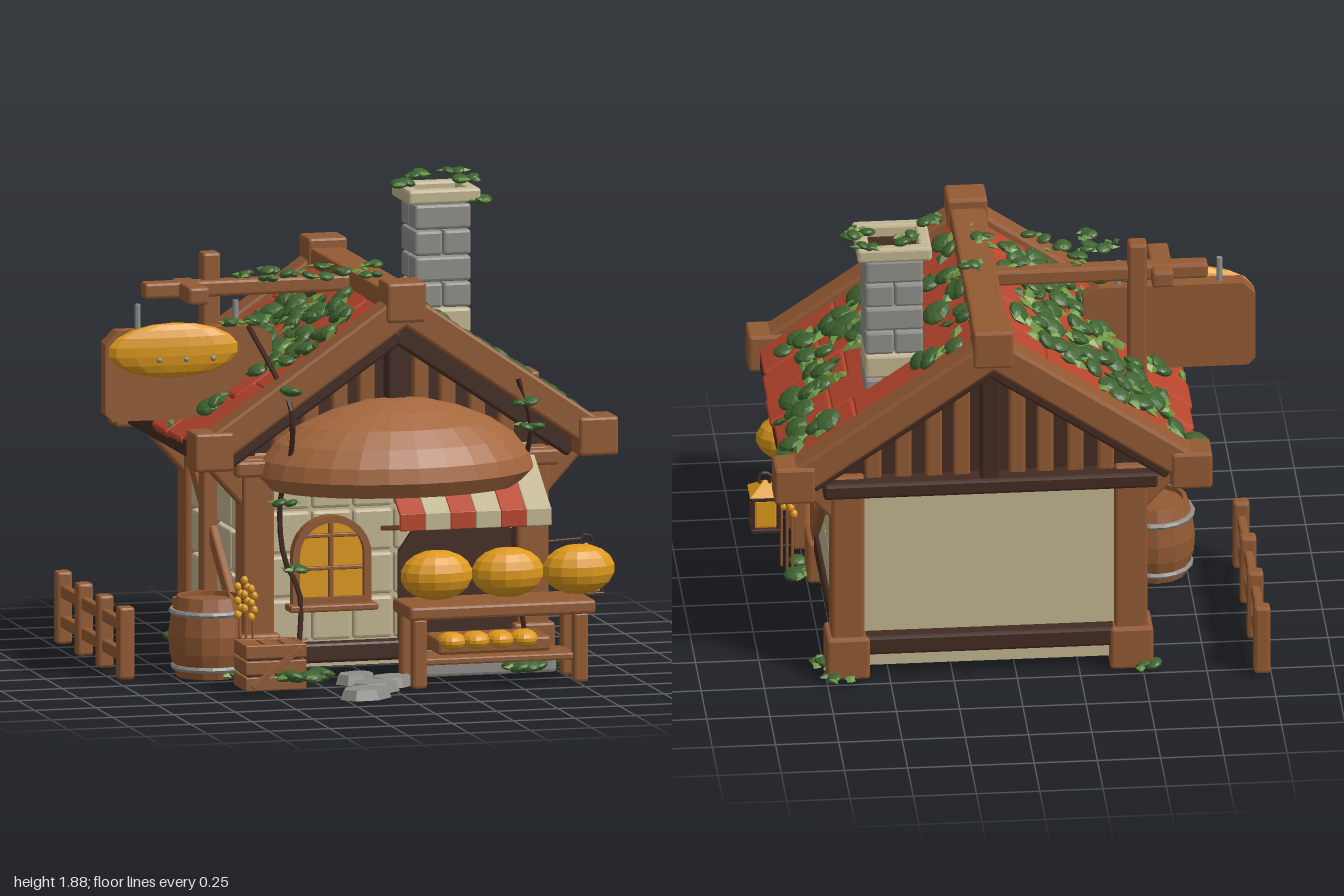
import * as THREE from 'three';
import { mergeGeometries } from 'three/addons/utils/BufferGeometryUtils.js';
import { RoundedBoxGeometry } from 'three/addons/geometries/RoundedBoxGeometry.js';

const paint = (name, color) => {
  const m = new THREE.MeshStandardMaterial({ color, flatShading: true });
  m.name = name;
  return m;
};
const V = (x, y, z) => new THREE.Vector3(x, y, z);

export function createModel() {
  const wood = paint('wood', 0x935a33), dark = paint('dark wood', 0x432b22), red = paint('red roof', 0xb8462c);
  const cream = paint('cream stone', 0xc2b793), grey = paint('grey stone', 0x8f8e8a), gold = paint('gold', 0xdd991c);
  const crust = paint('crust', 0xa5683e), leaf = paint('leaf green', 0x3f6330), light = paint('light leaf', 0x6c9843);
  const root = new THREE.Group();
  root.name = 'bakeryCottage';

  const add = (parent, name, geo, mat, x = 0, y = 0, z = 0) => {
    const m = new THREE.Mesh(geo, mat);
    m.name = name;
    m.position.set(x, y, z);
    parent.add(m);
    return m;
  };
  const group = (name, x = 0, y = 0, z = 0, parent = root) => {
    const g = new THREE.Group();
    g.name = name;
    g.position.set(x, y, z);
    parent.add(g);
    return g;
  };
  // Bevelled block given by its centre
  const box = (p, name, mat, w, h, d, x, y, z) =>
    add(p, name, new RoundedBoxGeometry(w, h, d, 1, Math.min(0.012, Math.min(w, h, d) / 4)), mat, x, y, z);
  // Straight timber between two points
  const beam = (p, name, mat, a, b, w, d) => {
    const c = a.clone().add(b).multiplyScalar(0.5), dir = b.clone().sub(a);
    const m = box(p, name, mat, w, dir.length(), d, c.x, c.y, c.z);
    m.quaternion.setFromUnitVectors(V(0, 1, 0), dir.normalize());
    return m;
  };
  const ball = (p, name, mat, rx, ry, rz, x, y, z) => {
    const m = add(p, name, new THREE.SphereGeometry(1, 14, 9), mat, x, y, z);
    m.scale.set(rx, ry, rz);
    return m;
  };
  const cyl = (p, name, mat, r, h, x, y, z, n = 8) => add(p, name, new THREE.CylinderGeometry(r, r, h, n), mat, x, y, z);
  const plate = (p, name, mat, pts, depth, z) => add(p, name, new THREE.ExtrudeGeometry(
    new THREE.Shape(pts.map(([x, y]) => new THREE.Vector2(x, y))), { depth, bevelEnabled: false }), mat, 0, 0, z);

  // House, mirrored about its ridge
  const CX = 0.105, SLOPE = 0.69, ANG = Math.atan(SLOPE);
  const roofY = u => 1.538 - Math.abs(u) * SLOPE;
  const house = group('house', CX);
  add(house, 'wallCore', new THREE.BoxGeometry(1.12, 0.86, 0.88), cream, 0, 0.48, -0.22);
  for (const s of [-1, 1]) {
    for (const z of [0.215, -0.645]) {
      box(house, 'cornerPost', wood, 0.13, 0.86, 0.13, s * 0.56, 0.47, z);
      box(house, 'postBase', wood, 0.17, 0.18, 0.17, s * 0.56, 0.11, z);
      beam(house, 'eaveBracket', wood, V(s * 0.58, 0.72, z), V(s * 0.77, 0.93, z), 0.08, 0.09);
    }
    // Stone tiles of the side wall
    for (let r = 0; r < 5; r++) for (let c = 0; c < 4; c++) {
      const [z, w] = [[0.09, 0.13], [-0.095, 0.2], [-0.31, 0.2], [-0.5, 0.15]][c];
      box(house, 'sideTile', cream, 0.06, 0.165, w, s * 0.575, 0.14 + r * 0.175, z);
    }
    box(house, 'sideSill', dark, 0.06, 0.08, 0.74, s * 0.59, 0.19, -0.215);
    beam(house, 'sideBrace', wood, V(s * 0.615, 0.27, 0.12), V(s * 0.615, 0.84, -0.58), 0.04, 0.065);
    box(house, 'eaveBeam', dark, 0.08, 0.08, 1.06, s * 0.78, 0.93, -0.215);
    // Rake timbers with end blocks
    for (const [z, zi] of [[0.37, 0.29], [-0.81, -0.72]]) {
      beam(house, 'rakeTimber', wood, V(0, 1.495, z), V(s * 0.785, 0.955, z), 0.12, 0.12);
      beam(house, 'innerRake', dark, V(0, 1.39, zi), V(s * 0.72, 0.9, zi), 0.1, 0.06);
      box(house, 'eaveBlock', wood, 0.16, 0.155, 0.145, s * 0.785, 0.955, z);
    }
    // Red roof planks in staggered pieces
    for (let i = 0; i < 5; i++) {
      const cuts = [0.03, i % 2 ? 0.34 : 0.22, i % 2 ? 0.6 : 0.52, 0.815 + (i % 3) * 0.006];
      for (let k = 0; k < 3; k++) {
        const u = (cuts[k] + cuts[k + 1]) / 2, len = (cuts[k + 1] - cuts[k]) / Math.cos(ANG);
        const m = box(house, 'roofPlank', red, len, 0.045, 0.21, s * u, roofY(u) - 0.032 + ((i + k) % 3) * 0.004, 0.205 - i * 0.212);
        m.rotation.z = -s * ANG;
      }
    }
  }
  for (const z of [0.37, -0.81]) box(house, 'ridgeBlock', wood, 0.16, 0.16, 0.145, 0, 1.52, z);
  box(house, 'ridgeBeam', wood, 0.14, 0.12, 1.2, 0, 1.5, -0.22);
  // Gables with upright planks
  for (const [z, f] of [[0.2, 1], [-0.65, -1]]) {
    plate(house, 'gableWall', dark, [[-0.7, 0.88], [0.7, 0.88], [0, 1.42]], 0.04, z - 0.02);
    for (const u of [-0.46, -0.34, -0.22, -0.11, 0.11, 0.22, 0.34, 0.46]) {
      const h = roofY(u) - 0.98;
      box(house, 'gablePlank', wood, 0.065, h, 0.04, u, 0.88 + h / 2, z + f * 0.03);
    }
    box(house, 'kingPost', dark, 0.08, 0.52, 0.07, 0, 1.14, z + f * 0.06);
    box(house, 'tieBeam', f > 0 ? wood : dark, 1.32, 0.065, 0.1, 0, 0.86, z + f * 0.06);
    box(house, 'footBeam', dark, 1.0, 0.08, 0.08, 0, f > 0 ? 0.11 : 0.16, z + f * 0.03);
  }
  // Front wall tiles
  for (let r = 0; r < 4; r++) for (let c = 0; c < 6; c++)
    box(house, 'frontTile', cream, 0.16, 0.165, 0.05, -0.42 + c * 0.168, 0.24 + r * 0.175, 0.215);

  // Arched window
  const arch = (w, y0, spring) => {
    const s = new THREE.Shape();
    s.moveTo(-w, y0); s.lineTo(w, y0); s.lineTo(w, spring);
    s.absarc(0, spring, w, 0, Math.PI, false);
    s.lineTo(-w, y0);
    return s;
  };
  const win = group('window', -0.16, 0, 0.245);
  const frame = arch(0.16, 0.31, 0.5);
  frame.holes.push(arch(0.132, 0.335, 0.5));
  add(win, 'windowFrame', new THREE.ExtrudeGeometry(frame, { depth: 0.05, bevelEnabled: false, curveSegments: 8 }), wood);
  add(win, 'windowPane', new THREE.ExtrudeGeometry(arch(0.135, 0.33, 0.5), { depth: 0.009, bevelEnabled: false, curveSegments: 8 }), gold, 0, 0, 0.01);
  box(win, 'mullion', wood, 0.02, 0.31, 0.02, 0, 0.48, 0.028);
  for (const y of [0.45, 0.58]) box(win, 'glazingBar', wood, 0.26, 0.016, 0.02, 0, y, 0.028);
  box(win, 'windowSill', wood, 0.36, 0.028, 0.09, 0, 0.297, 0.04);

  // Serving hatch and doorstep
  plate(root, 'hatchOpening', dark, [[0.12, 0.13], [0.63, 0.13], [0.63, 0.5], [0.54, 0.63], [0.21, 0.63], [0.12, 0.5]], 0.02, 0.24);
  box(root, 'doorstep', grey, 0.6, 0.09, 0.13, 0.42, 0.065, 0.36);

  // Bread-loaf canopy
  const prof = [[0, 0], [0.9, 0], [1, 0.06], [0.97, 0.12], [0.87, 0.19], [0.7, 0.255], [0.46, 0.31], [0.2, 0.345], [0, 0.352]];
  const canopy = add(root, 'loafCanopy', new THREE.LatheGeometry(prof.map(([x, y]) => new THREE.Vector2(x, y)), 14, -Math.PI / 2, Math.PI), crust, 0.1, 0.77, 0.27);
  canopy.scale.set(0.56, 1, 0.385);

  // Striped awning
  for (let i = 0; i < 6; i++) {
    const x = 0.095 + i * 0.103, m = i % 2 ? cream : red;
    beam(root, 'awningStripe', m, V(x, 0.87, 0.3), V(x, 0.69, 0.56), 0.103, 0.015);
    box(root, 'awningValance', m, 0.103, 0.07, 0.014, x, 0.665, 0.56);
  }
  for (const x of [0.05, 0.655]) beam(root, 'awningArm', wood, V(x, 0.6, 0.28), V(x, 0.645, 0.56), 0.02, 0.02);

  // Counter with loaves
  const counter = group('counter');
  box(counter, 'counterTop', wood, 0.76, 0.055, 0.265, 0.43, 0.317, 0.555);
  for (const x of [0.097, 0.755]) for (const z of [0.645, 0.465]) box(counter, 'counterLeg', wood, 0.06, 0.28, 0.05, x, 0.155, z);
  box(counter, 'lowerShelf', wood, 0.62, 0.028, 0.2, 0.43, 0.118, 0.55);
  box(counter, 'breadTray', wood, 0.46, 0.06, 0.22, 0.42, 0.165, 0.49);
  for (const x of [0.19, 0.48, 0.77]) ball(counter, 'largeLoaf', gold, 0.148, 0.1, 0.096, x, 0.452, 0.57);
  for (let i = 0; i < 4; i++) ball(counter, 'smallLoaf', gold, 0.058, 0.038, 0.06, 0.25 + i * 0.098, 0.185, 0.57);

  // Chimney courses
  const chimney = group('chimney', 0.47, 0, -0.46);
  for (let r = 0; r < 6; r++) for (const s of [-1, 1]) {
    const h = r ? 0.1 : 0.16, y = r ? 1.31 + (r - 1) * 0.104 : 1.18, m = r === 1 ? cream : grey;
    if (r % 2) box(chimney, 'chimneyStone', m, 0.23, h, 0.106, 0, y, s * 0.054);
    else box(chimney, 'chimneyStone', m, 0.114, h, 0.215, s * 0.058, y, 0);
  }
  for (const s of [-1, 1]) {
    box(chimney, 'chimneyCap', cream, 0.295, 0.06, 0.05, 0, 1.81, s * 0.108);
    box(chimney, 'chimneyCap', cream, 0.05, 0.06, 0.17, s * 0.122, 1.81, 0);
  }
  box(chimney, 'flue', dark, 0.2, 0.008, 0.17, 0, 1.786, 0);

  // Sign post with board and baguette
  const sign = group('hangingSign');
  box(sign, 'signPost', wood, 0.075, 1.63, 0.075, -0.52, 0.835, -0.225);
  box(sign, 'signBeam', wood, 0.92, 0.065, 0.07, -0.34, 1.51, -0.2);
  box(sign, 'signArm', wood, 0.085, 0.07, 0.27, -0.617, 1.505, -0.155);
  plate(sign, 'signBoard', wood, [[-0.97, 1.02], [-0.37, 1.02], [-0.32, 1.07], [-0.32, 1.34], [-0.38, 1.38], [-0.95, 1.38], [-1, 1.33], [-1, 1.05]], 0.07, -0.09);
  ball(sign, 'baguette', gold, 0.267, 0.11, 0.045, -0.733, 1.302, 0.015);
  for (const x of [-0.8, -0.69, -0.58]) ball(sign, 'signStud', grey, 0.012, 0.012, 0.012, x, 1.27, 0.052);
  for (const x of [-0.86, -0.46]) cyl(sign, 'signRod', grey, 0.012, 0.14, x, 1.41, -0.055);

  // Fence
  const fence = group('fence', -0.963);
  for (let i = 0; i < 4; i++) box(fence, 'fencePost', wood, 0.065, 0.29, 0.06, 0, 0.165, -0.79 + i * 0.31);
  for (const y of [0.11, 0.23]) box(fence, 'fenceRail', wood, 0.035, 0.05, 0.97, 0, y, -0.325);

  // Barrel
  const barrel = group('barrel', -0.62, 0.02, 0.14);
  add(barrel, 'barrelBody', new THREE.LatheGeometry([[0, 0], [0.13, 0], [0.158, 0.1], [0.162, 0.17], [0.152, 0.25], [0.13, 0.32], [0.115, 0.32], [0.115, 0.3], [0, 0.3]]
    .map(([x, y]) => new THREE.Vector2(x, y)), 14), wood);
  for (const [y, r] of [[0.04, 0.143], [0.26, 0.15]]) add(barrel, 'barrelHoop', new THREE.TorusGeometry(r, 0.012, 6, 18), grey, 0, y, 0).rotation.x = Math.PI / 2;

  // Slatted crate
  const crate = group('crate', -0.475, 0.02, 0.52);
  box(crate, 'crateCore', dark, 0.22, 0.15, 0.15, 0, 0.085, 0);
  for (const s of [-1, 1]) {
    for (let i = 0; i < 3; i++) {
      box(crate, 'crateSlat', wood, 0.25, 0.055, 0.02, 0, 0.032 + i * 0.064, s * 0.08);
      box(crate, 'crateSlat', wood, 0.02, 0.055, 0.16, s * 0.115, 0.032 + i * 0.064, 0);
    }
    beam(crate, 'crateBrace', wood, V(-0.1, 0.02, s * 0.094), V(0.1, 0.17, s * 0.094), 0.025, 0.012);
  }
  for (let i = -1; i < 2; i++) box(crate, 'crateLid', wood, 0.072, 0.02, 0.17, i * 0.08, 0.175, 0);

  // Lantern
  const lantern = group('lantern', 0.92, 0, 0.135);
  box(lantern, 'lanternGlass', gold, 0.095, 0.13, 0.095, 0, 0.355, 0);
  for (const y of [0.285, 0.425]) box(lantern, 'lanternPlate', dark, 0.12, 0.02, 0.12, 0, y, 0);
  for (const x of [-1, 1]) for (const z of [-1, 1]) box(lantern, 'lanternBar', dark, 0.014, 0.14, 0.014, x * 0.05, 0.355, z * 0.05);
  add(lantern, 'lanternRoof', new THREE.ConeGeometry(0.09, 0.05, 4), gold, 0, 0.46, 0).rotation.y = Math.PI / 4;
  add(lantern, 'lanternRing', new THREE.TorusGeometry(0.025, 0.007, 5, 10), dark, 0, 0.49, 0);
  beam(lantern, 'lanternHook', dark, V(-0.22, 0.49, 0), V(-0.02, 0.5, 0), 0.015, 0.015);

  // Wheat sheaves
  for (const [X, Z] of [[0.82, 0.27], [-0.52, 0.32]]) for (let i = 0; i < 3; i++) {
    const x = X + (i - 1) * 0.018, z = Z + (i - 1) * 0.035;
    cyl(root, 'wheatStalk', wood, 0.006, 0.26, x, 0.15, z, 5);
    for (let k = 0; k < 5; k++) ball(root, 'wheatGrain', gold, 0.015, 0.018, 0.015, x + (k % 2 ? 0.006 : -0.006), 0.28 + k * 0.028 + (i === 1 ? 0.03 : 0), z);
  }

  // Stepping stones
  for (const [x, z, r] of [[-0.16, 0.79, 0.115], [-0.08, 0.64, 0.11], [0.02, 0.52, 0.1], [-0.1, 0.42, 0.09]]) {
    const m = add(root, 'steppingStone', new THREE.CylinderGeometry(0.85, 1, 0.04, 7), grey, x, 0.03, z);
    m.scale.set(r, 1, r * 0.72);
    m.rotation.y = 0.4;
  }

  // Vines
  const vine = pts => add(root, 'vineStem', new THREE.TubeGeometry(new THREE.CatmullRomCurve3(pts), 24, 0.011, 5), dark);
  vine([V(-0.42, 1.38, 0), V(-0.4, 1.25, 0.28), V(-0.37, 1.12, 0.45), V(-0.36, 0.95, 0.42), V(-0.38, 0.72, 0.32), V(-0.36, 0.5, 0.31), V(-0.3, 0.36, 0.32), V(-0.31, 0.08, 0.33)]);
  vine([V(0.56, 1.2, 0.43), V(0.62, 1.0, 0.4), V(0.6, 0.75, 0.3), V(0.58, 0.55, 0.3), V(0.63, 0.1, 0.3)]);

  // Ivy tufts: dark rounded clumps with pointed light leaves
  let seed = 7;
  const rnd = () => (seed = (seed * 16807) % 2147483647) / 2147483647;
  const darkLeaves = [], lightLeaves = [];
  const put = (list, geo, sx, sy, sz, x, y, z, rx, ry, rz) => list.push(geo.clone().scale(sx, sy, sz).rotateX(rx).rotateY(ry).rotateZ(rz).translate(x, y, z));
  const clump = new THREE.IcosahedronGeometry(1, 1), blade = new THREE.OctahedronGeometry(1, 0);
  const tuft = (x, y, z, size = 1, tilt = 0) => {
    const j = () => (rnd() - 0.5) * 0.11 * size;
    for (let i = 0; i < 2; i++) {
      const a = j(), r = (0.04 + rnd() * 0.016) * size;
      put(darkLeaves, clump, r * 1.1, r * 0.5, r, x + a, y + a * Math.tan(tilt) + 0.012 * size, z + j(), 0.3, rnd() * 6, tilt);
    }
    for (let i = 0; i < 4; i++) {
      const a = j() * 1.3;
      put(i === 3 ? darkLeaves : lightLeaves, blade, 0.045 * size, 0.014 * size, 0.027 * size, x + a, y + a * Math.tan(tilt) + 0.012 * size, z + j() * 1.3, rnd() - 0.5, rnd() * 6, tilt);
    }
  };
  const roofTufts = [[-0.66, -0.65], [-0.6, -0.52], [-0.52, -0.62], [-0.42, -0.65], [-0.55, -0.4], [-0.45, -0.48], [-0.35, -0.52], [-0.25, -0.55], [-0.15, -0.5],
    [-0.38, -0.36], [-0.28, -0.4], [-0.16, -0.38], [-0.08, -0.45], [-0.45, -0.25], [-0.33, -0.22], [-0.22, -0.25], [-0.1, -0.28], [-0.4, -0.1], [-0.28, -0.08],
    [-0.15, -0.14], [-0.06, -0.05], [-0.2, 0.03], [-0.35, 0.04], [-0.1, 0.12], [-0.28, 0.15], [-0.15, 0.2], [-0.64, -0.15], [-0.55, 0.0], [0.18, 0.12], [0.25, -0.1],
    [0.36, -0.05], [0.17, -0.22], [0.2, -0.5], [0.36, -0.62], [0.28, -0.66], [0.45, -0.2], [0.55, -0.14], [0.55, 0.02], [0.6, 0.15], [0.66, 0.03], [0.72, 0.1], [0.75, -0.06],
    [0.82, 0.13], [0.75, -0.2], [0.8, -0.3], [0.86, -0.4], [0.7, -0.34], [0.87, -0.55], [0.78, -0.62], [0.87, -0.66], [0.25, -0.36]];
  for (const [x, z] of roofTufts) tuft(x, roofY(x - CX) + 0.005, z, 1, x < CX ? ANG : -ANG);
  for (let i = 0; i < 9; i++) tuft(-0.42 + i * 0.07, 1.565, -0.1 + 0.12 * Math.sin(i * 2.1), 0.6);
  for (const [x, y, z] of [[0.32, 1.855, -0.38], [0.42, 1.86, -0.55], [0.58, 1.86, -0.6], [0.6, 1.85, -0.45], [0.6, 1.78, -0.34],
    [-0.38, 1.3, 0.42], [-0.37, 1.18, 0.44], [-0.5, 1.39, -0.03], [-0.42, 1.39, -0.03], [0.58, 1.1, 0.43], [0.62, 1.0, 0.42],
    [-0.37, 0.72, 0.32], [0.59, 0.6, 0.31], [-0.33, 0.45, 0.32]]) tuft(x, y, z, 0.65);
  for (const [x, z] of [[-0.38, 0.65], [-0.44, 0.64], [-0.32, 0.62], [0.5, 0.63], [0.57, 0.62]]) tuft(x, 0.075, z, 0.85);
  for (const [x, z] of [[0.74, 0.28], [0.78, 0.2], [0.74, -0.6], [0.7, -0.72], [-0.5, -0.72], [-0.54, 0.3]]) tuft(x, 0.03, z, 0.75);
  add(root, 'ivyClumps', mergeGeometries(darkLeaves), leaf);
  add(root, 'ivyLeaves', mergeGeometries(lightLeaves), light);
  return root;
}
